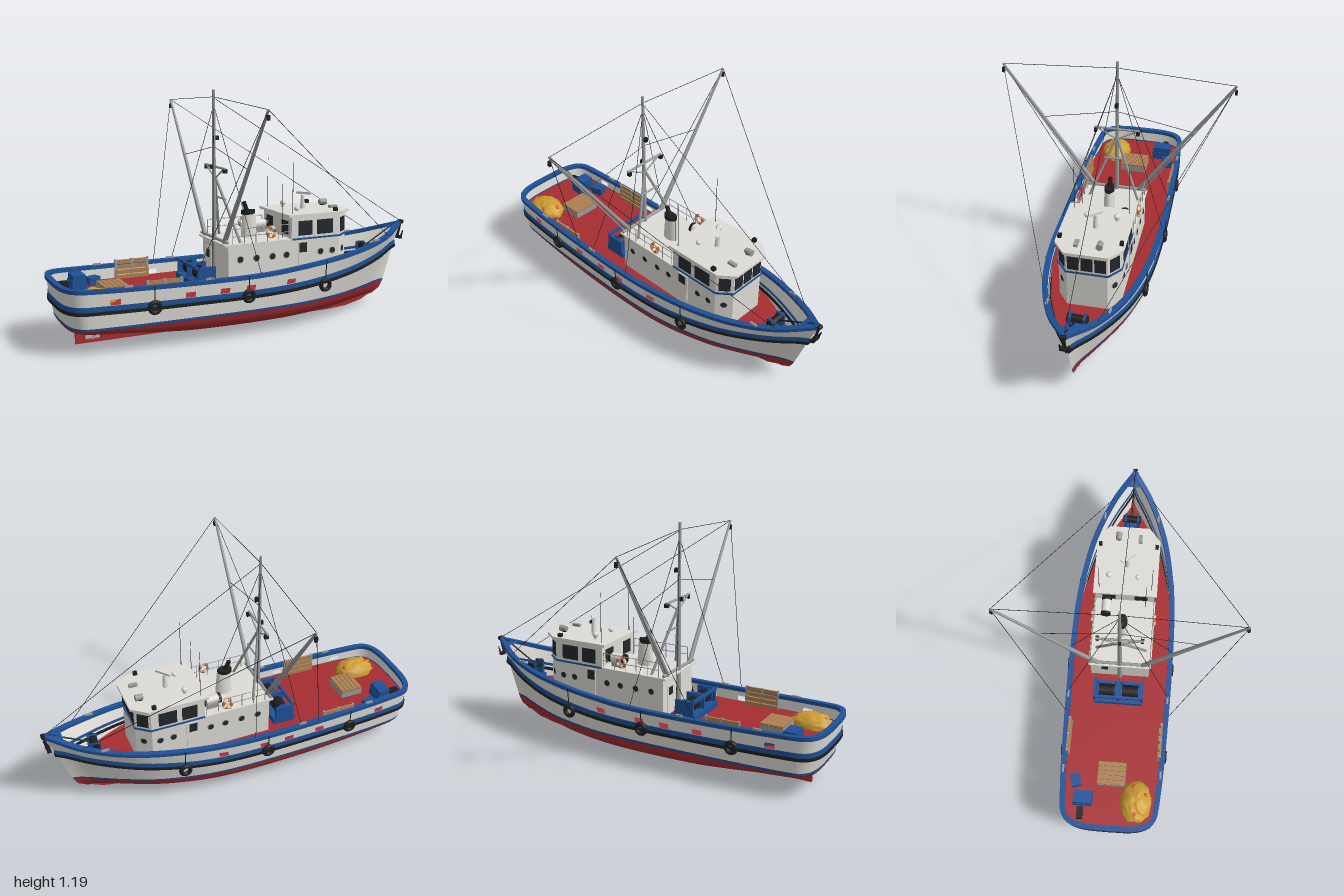
import * as THREE from 'three';
import { toCreasedNormals } from 'three/addons/utils/BufferGeometryUtils.js';

const material = (name, color, side = THREE.FrontSide) => {
  const m = new THREE.MeshStandardMaterial({ color, side });
  m.name = name;
  return m;
};
const V = (x, y, z) => new THREE.Vector3(x, y, z);

// Smooth interpolation through [x, y] pairs
function interp(keys, x) {
  const n = keys.length - 1;
  let i = 0;
  while (i < n - 1 && x > keys[i + 1][0]) i++;
  const slope = (a, b) => (keys[b][1] - keys[a][1]) / (keys[b][0] - keys[a][0]);
  const h = keys[i + 1][0] - keys[i][0], t = (x - keys[i][0]) / h;
  const m0 = slope(Math.max(i - 1, 0), i + 1) * h, m1 = slope(i, Math.min(i + 2, n)) * h;
  const a = keys[i][1], b = keys[i + 1][1];
  return a + t * m0 + t * t * (3 * (b - a) - 2 * m0 - m1) + t * t * t * (2 * (a - b) + m0 + m1);
}

// Hull lines: u runs from stern (0) to stem (1)
const sheer = u => interp([[0, .315], [.15, .308], [.35, .303], [.5, .305], [.62, .322], [.75, .346], [.9, .39], [1, .448]], u);
const rub = u => interp([[0, .23], [.3, .224], [.5, .224], [.62, .234], [.75, .257], [.9, .298], [1, .338]], u);
const plan = u => Math.max(0, interp([[0, .87], [.07, .91], [.15, .95], [.3, .985], [.45, 1], [.6, .977], [.7, .9], [.81, .73], [.92, .4], [1, 0]], u));
const sternRound = u => u >= .07 ? 1 : Math.pow(1 - Math.pow(1 - u / .07, 3.5), 1 / 3.5);
const below = Y => u => .122 - (.122 - Y) * interp([[0, .35], [.12, .55], [.35, 1], [1, 1]], u);
const KEYS = [
  { y: sheer, b: .272, p: 1, xs: -.993, xb: .985 },
  { y: rub, b: .267, p: 1.25, xs: -.982, xb: .94 },
  { y: () => .134, b: .261, p: 1.5, xs: -.963, xb: .872 },
  { y: () => .122, b: .26, p: 1.52, xs: -.962, xb: .868 },
  { y: below(.085), b: .249, p: 1.6, xs: -.955, xb: .848 },
  { y: below(.057), b: .212, p: 1.65, xs: -.94, xb: .8 },
  { y: below(.04), b: .14, p: 1.7, xs: -.91, xb: .71 },
  { y: below(.032), b: .01, p: 1.7, xs: -.86, xb: .6 },
];
function hullPoint(s, u, sg) {
  const at = k => V(k.xs + (k.xb - k.xs) * u, k.y(u), sg * k.b * sternRound(u) * Math.pow(plan(u), u > .45 ? k.p : 1));
  const i = Math.min(Math.floor(s), KEYS.length - 2);
  return at(KEYS[i]).lerp(at(KEYS[i + 1]), s - i);
}
const uOf = x => (x + .99) / 1.97;

// Hull level at the height of the flat deck
const DECK = .235;
const deckLevel = u => {
  const r = rub(u);
  return r < DECK ? 1 - (DECK - r) / (sheer(u) - r) : 1 + (r - DECK) / (r - .134);
};

// Surface through rows of points, with optional missing cells
function loft(rows, skip = () => false) {
  const n = rows[0].length, idx = [];
  for (let r = 0; r < rows.length - 1; r++) for (let c = 0; c < n - 1; c++) {
    if (skip(r, c)) continue;
    const a = r * n + c, b = a + 1, d = a + n, e = d + 1;
    idx.push(a, b, d, b, e, d);
  }
  const g = new THREE.BufferGeometry();
  g.setAttribute('position', new THREE.Float32BufferAttribute(rows.flat().flatMap(p => [p.x, p.y, p.z]), 3));
  g.setIndex(idx);
  g.computeVertexNormals();
  return g;
}

export function createModel() {
  const root = new THREE.Group();
  root.name = 'fishingBoat';
  const D = THREE.DoubleSide;
  const white = material('whitePaint', 0xdedcd5, D), red = material('redPaint', 0xa62d31, D);
  const blue = material('bluePaint', 0x1f5096, D), black = material('blackRubber', 0x1e1e1e, D), grey = material('greySteel', 0x999b9b);
  const glass = material('darkGlass', 0x23282c), wood = material('wood', 0xad8053), yellow = material('yellowNet', 0xcd9d32);
  const orange = material('orange', 0xd9651f);

  const add = (name, geo, mat, x = 0, y = 0, z = 0) => {
    const m = new THREE.Mesh(geo, mat);
    m.name = name;
    m.position.set(x, y, z);
    root.add(m);
    return m;
  };
  const box = (name, mat, w, h, d, x, y, z, ry = 0) => {
    const m = add(name, new THREE.BoxGeometry(w, h, d), mat, x, y, z);
    m.rotation.y = ry;
    return m;
  };
  const rod = (name, mat, a, b, r0, r1 = r0, sides = 10) => {
    const m = add(name, new THREE.CylinderGeometry(r1, r0, a.distanceTo(b), sides), mat);
    m.position.copy(a).lerp(b, .5);
    m.quaternion.setFromUnitVectors(V(0, 1, 0), b.clone().sub(a).normalize());
    return m;
  };
  const wire = (a, b) => rod('riggingWire', black, a, b, .0014, .0014, 5);

  // Hull bands, with freeing ports left open in the bulwark
  const ports = [-.765, -.395, -.215, -.075, .155].map(x => [uOf(x - .025), uOf(x + .025)]);
  const us = ports.flat();
  for (let i = 0; i <= 10; i++) us.push(.07 * (1 - Math.pow(Math.max(0, Math.cos(i / 10 * Math.PI / 2)), 2 / 3.5)));
  for (let i = 1; i <= 40; i++) us.push(.07 + .93 * i / 40);
  us.sort((a, b) => a - b);
  const around = [...us.slice(1).reverse().map(u => [u, -1]), ...us.map(u => [u, 1])];
  const ring = s => around.map(([u, sg]) => hullPoint(s, u, sg));
  const isPort = (r, c) => r === 1 &&
    ports.some(([a, b]) => { const m = (around[c][0] + around[c + 1][0]) / 2; return m > a && m < b; });
  const band = (name, mat, levels, skip) => add(name, loft(levels.map(ring), skip), mat);
  band('bulwark', white, [0, .53, .85, 1], isPort);
  band('topsides', white, [1, 1.5, 2]);
  band('waterlineStripe', blue, [2, 3]);
  band('hullBottom', red, [3, 3.5, 4, 4.5, 5, 5.5, 6, 7]);

  // Rails swept around the hull
  const strake = (name, mat, s, o0, o1, h0, h1) => {
    const P = ring(s);
    const rows = [[o0, h0], [o1, h0], [o1, h1], [o0, h1], [o0, h0]].map(([o, h]) => P.map((p, i) => {
      const t = P[Math.min(i + 1, P.length - 1)].clone().sub(P[Math.max(i - 1, 0)]);
      const l = Math.hypot(t.x, t.z), z = p.z + t.x / l * o;
      return V(p.x - t.z / l * o, p.y + h, p.z === 0 || p.z * z > 0 ? z : 0);
    }));
    add(name, toCreasedNormals(loft(rows), .6), mat);
  };
  strake('capRail', blue, 0, -.021, .006, -.012, .007);
  strake('blueRubRail', blue, 1, -.001, .006, -.013, .01);
  strake('blackRubRail', black, 1, -.009, .009, -.029, -.013);
  add('bowPlate', loft([1, -1].map(sg => us.filter(u => u > .94).map(u => hullPoint(0, u, sg).add(V(0, .005, 0))))), blue);

  // Deck
  add('deck', loft([1, -1].map(sg => us.map(u => hullPoint(deckLevel(u), u, sg * .995)))), red);

  // Keel, rudder and propeller
  const keel = new THREE.Shape([[-.89, 0], [.5, 0], [.62, .008], [.72, .03], [.78, .06], [.6, .05], [-.3, .045], [-.765, .09], [-.765, .014], [-.89, .014]].map(p => new THREE.Vector2(...p)));
  add('keel', new THREE.ExtrudeGeometry(keel, { depth: .016, bevelEnabled: false }), red, 0, 0, -.008);
  box('rudder', red, .05, .085, .012, -.865, .05, 0);
  rod('propellerShaft', grey, V(-.815, .045, 0), V(-.75, .045, 0), .009);
  for (let i = 0; i < 4; i++) {
    const b = box('propellerBlade', grey, .004, .032, .018, -.8, .045 + Math.cos(i * Math.PI / 2) * .017, Math.sin(i * Math.PI / 2) * .017);
    b.rotation.set(i * Math.PI / 2, .5, 0);
  }

  // Deckhouse and wheelhouse, from chamfered plans
  const house = (name, mat, x0, x1, hw, c, y0, y1) => {
    const pts = [[x0, -hw], [x1 - c * 1.25, -hw], [x1, -hw + c], [x1, hw - c], [x1 - c * 1.25, hw], [x0, hw]];
    const g = new THREE.ExtrudeGeometry(new THREE.Shape(pts.map(p => new THREE.Vector2(...p))), { depth: y1 - y0, bevelEnabled: false });
    add(name, g.rotateX(-Math.PI / 2), mat, 0, y0, 0);
  };
  house('deckhouse', white, -.155, .55, .155, .055, .2, .438);
  house('deckhouseRoof', white, -.175, .2, .163, 0, .435, .444);
  house('wheelhouse', white, .2, .55, .155, .055, .438, .556);
  house('blueTrim', blue, .198, .554, .159, .055, .435, .444);
  house('wheelhouseRoof', white, .18, .57, .167, .06, .554, .567);
  for (const z of [-.066, 0, .066]) box('frontWindow', glass, .006, .075, .056, .55, .494, z);
  for (const z of [-.085, .085]) box('aftWindow', glass, .006, .07, .07, .2, .494, z);
  box('aftDoor', white, .006, .15, .065, -.156, .32, -.08);
  box('aftDoorWindow', glass, .006, .04, .035, -.159, .36, -.08);

  const porthole = (x, z, ry) => {
    add('portholeRim', new THREE.TorusGeometry(.016, .0028, 6, 20), grey, x, .365, z).rotation.y = ry;
    add('portholeGlass', new THREE.CylinderGeometry(.015, .015, .007, 20).rotateX(Math.PI / 2), glass, x, .365, z).rotation.y = ry;
  };
  for (const s of [1, -1]) {
    const turn = s * Math.atan2(.055, .069);
    box('sideWindow', glass, .08, .075, .006, .28, .494, s * .155);
    box('sideWindow', glass, .095, .075, .006, .395, .494, s * .155);
    box('cornerWindow', glass, .058, .075, .006, .516, .494, s * .128, turn);
    box('sideDoor', white, .06, .165, .008, .27, .345, s * .156);
    box('doorWindow', glass, .042, .05, .006, .265, .395, s * .159);
    for (const x of [-.09, 0, .09, .17, .37, .44]) porthole(x, s * .156, 0);
    porthole(.516, s * .128, turn);

    // Roof handrail and life rings
    for (const y of [.482, .52]) rod('handrail', grey, V(-.13, y, s * .155), V(.195, y, s * .155), .002);
    for (let i = 0; i < 6; i++) rod('stanchion', grey, V(-.13 + i * .064, .44, s * .155), V(-.13 + i * .064, .52, s * .155), .002);
    for (let i = 0; i < 8; i++) add('lifeRing', new THREE.TorusGeometry(.023, .008, 8, 6, Math.PI / 4).rotateZ(i * Math.PI / 4), i % 2 ? white : orange, .08, .49, s * .163);

    // Tyre fenders hung from the rail
    for (const x of [-.58, -.1, .345]) {
      const z = hullPoint(1.2, uOf(x), s).z + s * .011, top = hullPoint(0, uOf(x), s);
      add('tyreFender', new THREE.TorusGeometry(.025, .011, 10, 24), black, x, .21, z);
      rod('fenderRope', black, V(x, .235, z), top.add(V(0, .006, s * .007)), .0025);
    }
    // Trawl doors against the bulwark
    for (let i = 0; i < 4; i++) box('trawlDoorPlank', wood, .18, .021, .01, -.52, .243 + i * .026, s * (.235 + i * .002));
    for (const x of [-.605, -.52, -.435]) box('trawlDoorFrame', grey, .01, .105, .013, x, .283, s * .24);

    // Outrigger booms, mast legs and rigging
    const tip = V(-.16, 1.125, s * .585), railAt = x => hullPoint(0, uOf(x), s);
    rod('outriggerBoom', grey, V(-.16, .45, s * .115), tip, .011, .006);
    rod('boomBrace', grey, V(-.16, .47, s * .155), V(-.16, 1.1, s * .575), .004, .003);
    box('boomWeight', black, .014, .025, .012, -.16, 1.09, s * .585);
    rod('mastLeg', grey, V(-.075, .44, s * .13), V(-.155, .77, 0), .007);
    rod('crosstreeStrut', grey, V(-.155, .81, s * .1), V(-.155, .755, 0), .004);
    box('deckLamp', black, .02, .02, .016, -.15, .803, s * .11);
    wire(V(-.16, 1.16, 0), tip);
    wire(V(-.16, .915, 0), V(-.16, .84, s * .385));
    wire(tip, railAt(-.39));
    wire(tip, railAt(.82));
    for (const x of [-.03, -.29]) wire(V(-.16, 1.12, 0), railAt(x));
    rod('antenna', black, V(.215, .56, s * .137), V(.215, .83, s * .137), .0016, .001, 6);
    box('roofLamp', black, .02, .018, .018, .46, .577, s * .15);
    for (const x of [-.7, -.3, .72]) box('railCleat', grey, .04, .01, .01, x, railAt(x).y + .011, railAt(x).z - s * .008);
  }

  // Mast
  rod('mast', grey, V(-.16, .23, 0), V(-.16, 1.195, 0), .013, .007, 14);
  rod('crosstree', grey, V(-.155, .815, -.118), V(-.155, .815, .118), .006);
  rod('lowerCrossbar', grey, V(-.125, .655, -.06), V(-.125, .655, .06), .005);
  rod('boomFootBar', grey, V(-.16, .455, -.16), V(-.16, .455, .16), .008);
  box('mastLamp', black, .016, .022, .016, -.143, .958, 0);
  box('mastBlock', black, .014, .02, .014, -.173, .815, 0);
  wire(V(-.16, 1.155, 0), V(.975, .455, 0));

  // Funnel
  const funnel = add('funnel', new THREE.CylinderGeometry(.036, .045, .125, 24), white, .035, .502, 0);
  const cap = add('funnelCap', new THREE.CylinderGeometry(.038, .038, .022, 24), black, .03, .572, 0);
  funnel.scale.z = cap.scale.z = .65;
  rod('exhaustPipe', black, V(.025, .575, 0), V(.005, .625, 0), .011);

  // Roof equipment
  rod('liferaft', white, V(.1, .487, -.095), V(.18, .487, -.095), .025, .025, 20);
  for (const x of [.1, .18]) rod('liferaftEnd', black, V(x - .007, .487, -.095), V(x + .007, .487, -.095), .026, .026, 20);
  box('liferaftCradle', grey, .06, .025, .04, .14, .455, -.095);
  rod('radarPost', white, V(.35, .565, 0), V(.35, .64, 0), .014, .009);
  box('radarScanner', white, .085, .012, .016, .355, .65, .005, -.9);
  rod('domePost', white, V(.28, .565, -.09), V(.28, .58, -.09), .008);
  add('satelliteDome', new THREE.SphereGeometry(.016, 16, 12), white, .28, .59, -.09);
  add('satelliteDome', new THREE.SphereGeometry(.013, 16, 12), white, .28, .58, .06);
  rod('searchlight', grey, V(.485, .585, -.055), V(.525, .585, -.055), .014, .017, 14);
  box('searchlightBase', black, .018, .02, .018, .5, .57, -.055);
  box('roofHorn', grey, .045, .014, .02, .5, .576, .06);
  rod('aftAntenna', black, V(.17, .44, .11), V(.17, .72, .11), .0016, .001, 6);

  // Trawl winch
  box('winchBed', blue, .12, .03, .26, -.26, .25, 0);
  for (const z of [-.125, 0, .125]) box('winchFrame', blue, .1, .085, .014, -.26, .295, z);
  box('winchGuard', blue, .014, .014, .25, -.31, .335, 0);
  for (const z of [-.062, .062]) {
    rod('winchDrum', black, V(-.26, .295, z - .042), V(-.26, .295, z + .042), .033, .033, 18);
    for (const o of [-.045, .045]) rod('drumFlange', blue, V(-.26, .295, z + o - .003), V(-.26, .295, z + o + .003), .043, .043, 20);
  }

  // Working deck gear
  box('hatchCoaming', grey, .12, .035, .145, -.7, .25, 0);
  for (let i = 0; i < 5; i++) box('hatchPlank', wood, .021, .012, .145, -.748 + i * .024, .273, 0);
  box('fishBox', blue, .07, .045, .1, -.835, .257, -.14);
  box('fishBox', blue, .064, .03, .094, -.835, .294, -.14);
  box('fishBox', blue, .065, .04, .05, -.745, .255, -.185, .3);
  box('gearBox', black, .06, .04, .03, -.91, .255, -.15);
  const net = new THREE.SphereGeometry(1, 28, 16), pos = net.attributes.position;
  for (let i = 0; i < pos.count; i++) {
    const p = V().fromBufferAttribute(pos, i);
    p.multiplyScalar(.93 + .07 * Math.sin(p.x * 9 + p.y * 5) * Math.cos(p.z * 8) + .05 * Math.sin(p.y * 13 + p.z * 11));
    pos.setXYZ(i, p.x * .115, p.y * .06, p.z * .085);
  }
  net.computeVertexNormals();
  add('netHeap', net, yellow, -.83, .24, .135);
  for (const [x, z] of [[-.9, .13], [-.8, .18], [-.76, .12]]) add('netFloat', new THREE.SphereGeometry(.012, 10, 8), orange, x, .275, z);

  // Windlass and anchor at the bow
  box('windlassBed', blue, .07, .04, .09, .74, .255, 0);
  for (const z of [-.035, .035]) box('windlassFrame', blue, .05, .08, .012, .74, .31, z);
  rod('windlassDrum', black, V(.74, .33, -.05), V(.74, .33, .05), .02, .02, 16);
  rod('anchorChain', black, V(.76, .34, 0), V(.955, .45, 0), .004);
  rod('anchorShank', black, V(.985, .445, 0), V(.965, .365, 0), .006);
  box('anchorCrown', black, .02, .014, .05, .968, .362, 0);
  for (const z of [-.021, .021]) rod('anchorFluke', black, V(.97, .36, z), V(.985, .4, z), .007, .003);
  rod('bowRoller', black, V(.985, .448, -.012), V(.985, .448, .012), .011);
  return root;
}
